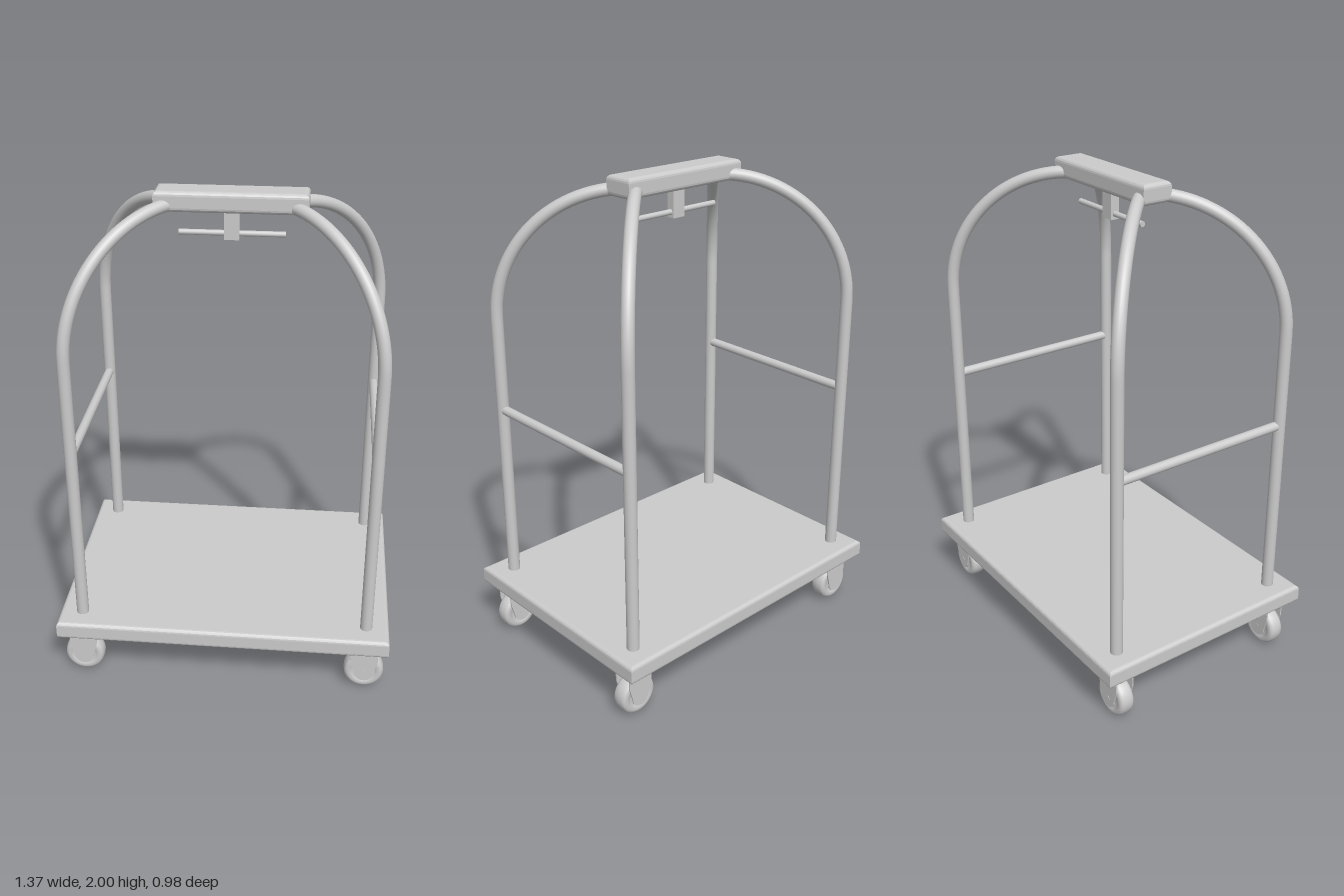
import * as THREE from 'three';

const material = new THREE.MeshStandardMaterial({ color: 0xcccccc });
const POST_X = 0.592, POST_Z = 0.393;

function add(parent, name, geometry, x = 0, y = 0, z = 0) {
  const mesh = new THREE.Mesh(geometry, material);
  mesh.name = name;
  mesh.position.set(x, y, z);
  parent.add(mesh);
  return mesh;
}

// Slab with rounded, mitred edges, standing on y = 0
function slab(width, height, depth, bevel) {
  const w = width / 2 - bevel, d = depth / 2 - bevel;
  const shape = new THREE.Shape([
    new THREE.Vector2(-w, -d), new THREE.Vector2(w, -d),
    new THREE.Vector2(w, d), new THREE.Vector2(-w, d),
  ]);
  const geometry = new THREE.ExtrudeGeometry(shape, {
    depth: height - 2 * bevel, bevelSize: bevel, bevelThickness: bevel, bevelSegments: 4,
  });
  return geometry.rotateX(-Math.PI / 2).translate(0, bevel, 0);
}

// Straight post that bends in a quarter arc towards the top bar
function postGeometry(sx, sz) {
  const path = new THREE.CurvePath();
  const bend = 1.43, reach = 0.37, rise = 0.515;
  path.add(new THREE.LineCurve3(
    new THREE.Vector3(sx * POST_X, 0.28, sz * POST_Z),
    new THREE.Vector3(sx * POST_X, bend, sz * POST_Z)));
  const arc = [];
  for (let i = 0; i <= 16; i++) {
    const a = (i / 16) * Math.PI / 2, inward = reach * (1 - Math.cos(a));
    arc.push(new THREE.Vector3(sx * (POST_X - inward), bend + rise * Math.sin(a), sz * (POST_Z - inward)));
  }
  path.add(new THREE.CatmullRomCurve3(arc));
  return new THREE.TubeGeometry(path, 72, 0.025, 20);
}

function createCaster() {
  const caster = new THREE.Group();
  caster.name = 'caster';

  // Wheel with a rounded tread and shallow hub recesses
  const profile = [
    [0, -0.024], [0.045, -0.024], [0.05, -0.033], [0.066, -0.033], [0.076, -0.029], [0.081, -0.02],
    [0.083, 0], [0.081, 0.02], [0.076, 0.029], [0.066, 0.033], [0.05, 0.033], [0.045, 0.024], [0, 0.024],
  ].map(([r, h]) => new THREE.Vector2(r, h));
  add(caster, 'wheel', new THREE.LatheGeometry(profile, 36).rotateX(Math.PI / 2), 0, 0.088, 0);

  // Fork cheeks tapering to a rounded tip below the axle
  const cheek = new THREE.Shape();
  cheek.moveTo(-0.056, 0.174);
  cheek.lineTo(-0.056, 0.145);
  cheek.lineTo(-0.04, 0.088);
  cheek.absarc(0, 0.088, 0.04, Math.PI, Math.PI * 2, false);
  cheek.lineTo(0.056, 0.145);
  cheek.lineTo(0.056, 0.174);
  for (const s of [-1, 1]) {
    const plate = new THREE.ExtrudeGeometry(cheek, { depth: 0.006, bevelEnabled: false, curveSegments: 16 });
    add(caster, 'forkCheek', plate, 0, 0, s * 0.039 - 0.003);
  }

  // Arched crown joining the cheeks over the wheel
  const arch = new THREE.Shape();
  arch.absarc(0, 0, 0.043, 0, Math.PI, false);
  arch.absarc(0, 0, 0.036, Math.PI, 0, true);
  const crown = new THREE.ExtrudeGeometry(arch, { depth: 0.112, bevelEnabled: false, curveSegments: 20 });
  add(caster, 'forkCrown', crown.translate(0, 0, -0.056).rotateY(Math.PI / 2), 0, 0.174, 0);

  // Axle pin
  add(caster, 'axle', new THREE.CylinderGeometry(0.012, 0.012, 0.086, 16).rotateX(Math.PI / 2), 0, 0.088, 0);
  return caster;
}

export function createModel() {
  const cart = new THREE.Group();
  cart.name = 'luggageCart';

  // Platform and top bar
  add(cart, 'platform', slab(1.372, 0.078, 0.98, 0.016), 0, 0.215, 0);
  add(cart, 'topBar', slab(0.584, 0.08, 0.127, 0.018), 0, 1.92, 0);

  // Four bent posts and four casters, with a rail across each end
  for (const sx of [-1, 1]) {
    for (const sz of [-1, 1]) {
      add(cart, 'post', postGeometry(sx, sz));
      const caster = createCaster();
      caster.position.set(sx * POST_X, 0, sz * POST_Z);
      cart.add(caster);
    }
    const rail = new THREE.CylinderGeometry(0.019, 0.019, 2 * POST_Z - 0.02, 20).rotateX(Math.PI / 2);
    add(cart, 'endRail', rail, sx * POST_X, 1.043, 0);
  }

  // Hanger block and rod below the top bar
  add(cart, 'hangerBlock', new THREE.BoxGeometry(0.058, 0.125, 0.036), 0, 1.869, 0);
  add(cart, 'hangerRod', new THREE.CylinderGeometry(0.011, 0.011, 0.41, 16).rotateZ(Math.PI / 2), 0, 1.829, 0);
  return cart;
}
